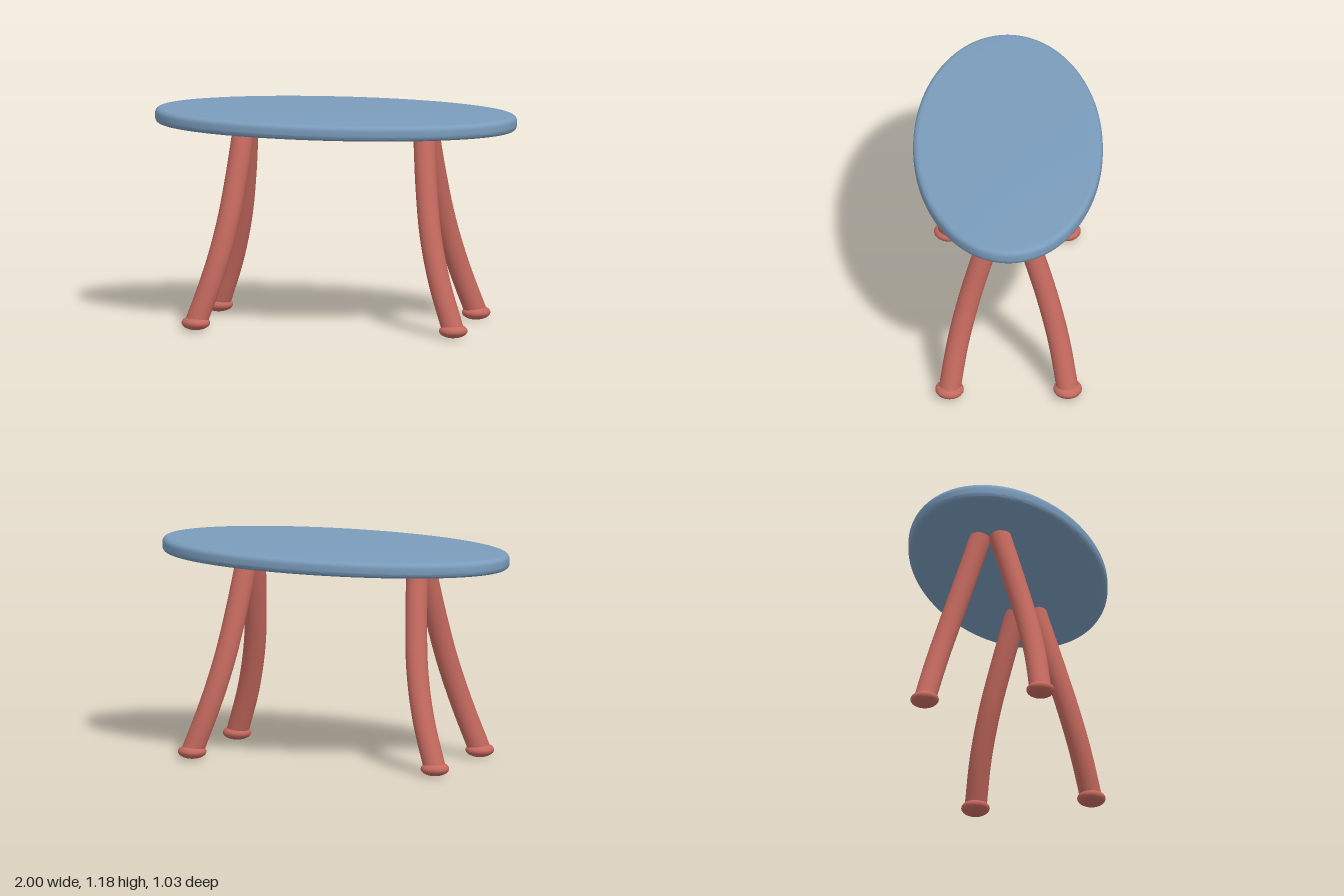
import * as THREE from 'three';
import { toCreasedNormals } from 'three/addons/utils/BufferGeometryUtils.js';

const blue = new THREE.MeshStandardMaterial({ color: 0x7a9cbc });
const red = new THREE.MeshStandardMaterial({ color: 0xc4695e });

// Oval slab with a rounded rim
function makeTop() {
  const bevel = 0.03;
  const oval = new THREE.Shape();
  oval.absellipse(0, 0, 1 - bevel, 0.517 - bevel, 0, Math.PI * 2);
  const geometry = new THREE.ExtrudeGeometry(oval, {
    depth: 0.025, bevelSize: bevel, bevelThickness: bevel, bevelSegments: 6, curveSegments: 96,
  });
  geometry.rotateX(-Math.PI / 2);
  geometry.translate(0, 1.095 + bevel, 0);
  const top = new THREE.Mesh(toCreasedNormals(geometry, 0.6), blue);
  top.name = 'tableTop';
  return top;
}

// Curved round leg with a capped upper end and a flattened ball foot
function makeLeg(sx, sz, name) {
  const radius = 0.06;
  const points = [
    [0.5, 1.09, 0.052], [0.53, 0.8, 0.14], [0.567, 0.55, 0.213],
    [0.628, 0.3, 0.275], [0.715, 0.04, 0.322],
  ].map(([x, y, z]) => new THREE.Vector3(sx * x, y, sz * z));
  const curve = new THREE.CatmullRomCurve3(points);
  const leg = new THREE.Group();
  leg.name = name;

  const shaft = new THREE.Mesh(new THREE.TubeGeometry(curve, 20, radius, 24), red);
  shaft.name = 'legShaft';

  const cap = new THREE.Mesh(new THREE.CircleGeometry(radius, 24), red);
  cap.name = 'legCap';
  cap.position.copy(points[0]);
  cap.quaternion.setFromUnitVectors(new THREE.Vector3(0, 0, 1), curve.getTangent(0).negate());

  const foot = new THREE.Mesh(new THREE.SphereGeometry(1, 32, 16), red);
  foot.name = 'foot';
  foot.scale.set(0.078, 0.039, 0.078);
  foot.position.set(sx * 0.715, 0.04, sz * 0.322);

  leg.add(shaft, cap, foot);
  return leg;
}

export function createModel() {
  const table = new THREE.Group();
  table.name = 'ovalTable';
  table.add(makeTop());
  for (const sx of [1, -1])
    for (const sz of [1, -1])
      table.add(makeLeg(sx, sz, (sz > 0 ? 'front' : 'back') + (sx > 0 ? 'Left' : 'Right') + 'Leg'));
  return table;
}
